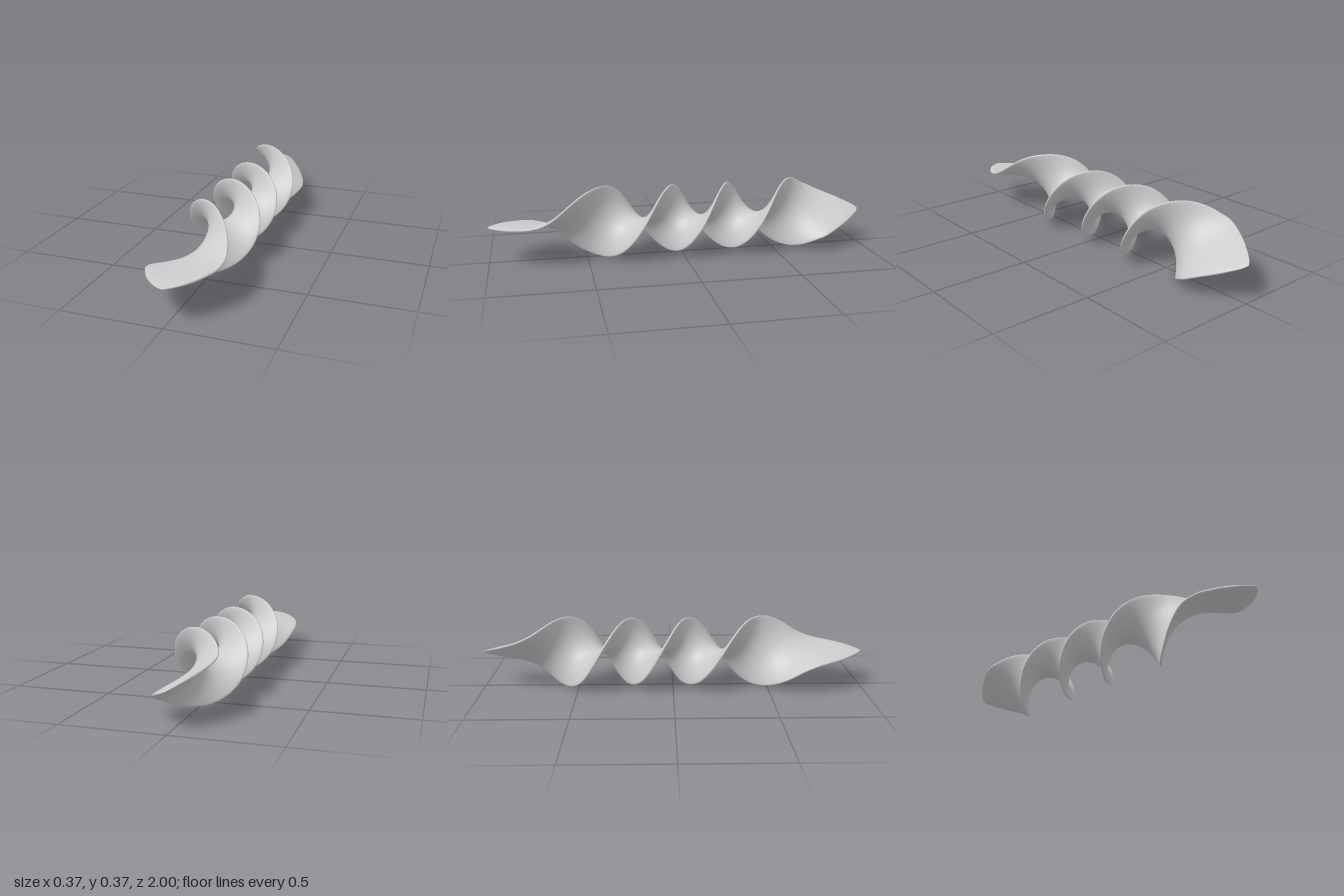
import * as THREE from 'three';

// Keys along the blade: [z, half width, twist in degrees]
const KEYS = [
  [1, 0, 3], [0.985, 0.03, 3.3], [0.95, 0.072, 4], [0.9, 0.116, 5], [0.85, 0.147, 6],
  [0.8, 0.171, 7], [0.73, 0.187, 12], [0.67, 0.187, 22], [0.6, 0.187, 40], [0.52, 0.187, 63],
  [0.43, 0.186, 90], [0.33, 0.185, 131], [0.23, 0.182, 180], [0.145, 0.18, 225],
  [0.06, 0.178, 270], [-0.01, 0.178, 315], [-0.085, 0.178, 360], [-0.16, 0.178, 405],
  [-0.24, 0.178, 450], [-0.315, 0.18, 495], [-0.395, 0.182, 540], [-0.485, 0.185, 589],
  [-0.58, 0.186, 630], [-0.65, 0.187, 657], [-0.71, 0.187, 675], [-0.76, 0.184, 684],
  [-0.8, 0.168, 688], [-0.85, 0.138, 690], [-0.9, 0.103, 691], [-0.95, 0.06, 691],
  [-0.985, 0.025, 691], [-1, 0, 691],
];
const AXIS_Y = 0.19, HALF_THICK = 0.011;
const ROWS = 500, AROUND = 56;

// Sweeps a thin round-edged section along z while turning it
function twistedBlade() {
  const curve = new THREE.CatmullRomCurve3(
    KEYS.map(([z, r, a]) => new THREE.Vector3(z, r, THREE.MathUtils.degToRad(a))), false, 'catmullrom', 0.5);
  const pos = [], index = [];
  for (let i = 0; i <= ROWS; i++) {
    const t = i / ROWS;
    const k = curve.getPoint(t), d = curve.getTangent(t);
    const r = Math.max(k.y, 0), c = Math.cos(k.z), s = Math.sin(k.z);
    const rate = Math.abs(d.x) > 1e-4 ? d.z / d.x : 0;
    const thick = Math.min(HALF_THICK, r * 0.1 + 0.001) * (r > 0 ? 1 : 0);
    for (let j = 0; j < AROUND; j++) {
      const p = (j / AROUND) * Math.PI * 2;
      const u = r * Math.cos(p);
      const h = thick * Math.sign(Math.sin(p)) * Math.abs(Math.sin(p)) ** 0.5;
      // offset along the normal of the helical mid-surface
      const n = new THREE.Vector3(s, -c, u * rate).normalize().multiplyScalar(h);
      const z = THREE.MathUtils.clamp(k.x + n.z, -1, 1);
      pos.push(u * c + n.x, AXIS_Y + u * s + n.y, z);
      if (i < ROWS) {
        const a = i * AROUND + j, b = i * AROUND + (j + 1) % AROUND;
        index.push(a, b, a + AROUND, b, b + AROUND, a + AROUND);
      }
    }
  }
  const geo = new THREE.BufferGeometry();
  geo.setAttribute('position', new THREE.Float32BufferAttribute(pos, 3));
  geo.setIndex(index);
  geo.computeVertexNormals();
  return geo;
}

export function createModel() {
  const group = new THREE.Group();
  group.name = 'twistedSpiral';
  const blade = new THREE.Mesh(twistedBlade(),
    new THREE.MeshStandardMaterial({ color: 0xcccccc, side: THREE.DoubleSide }));
  blade.name = 'spiralBlade';
  group.add(blade);
  return group;
}
